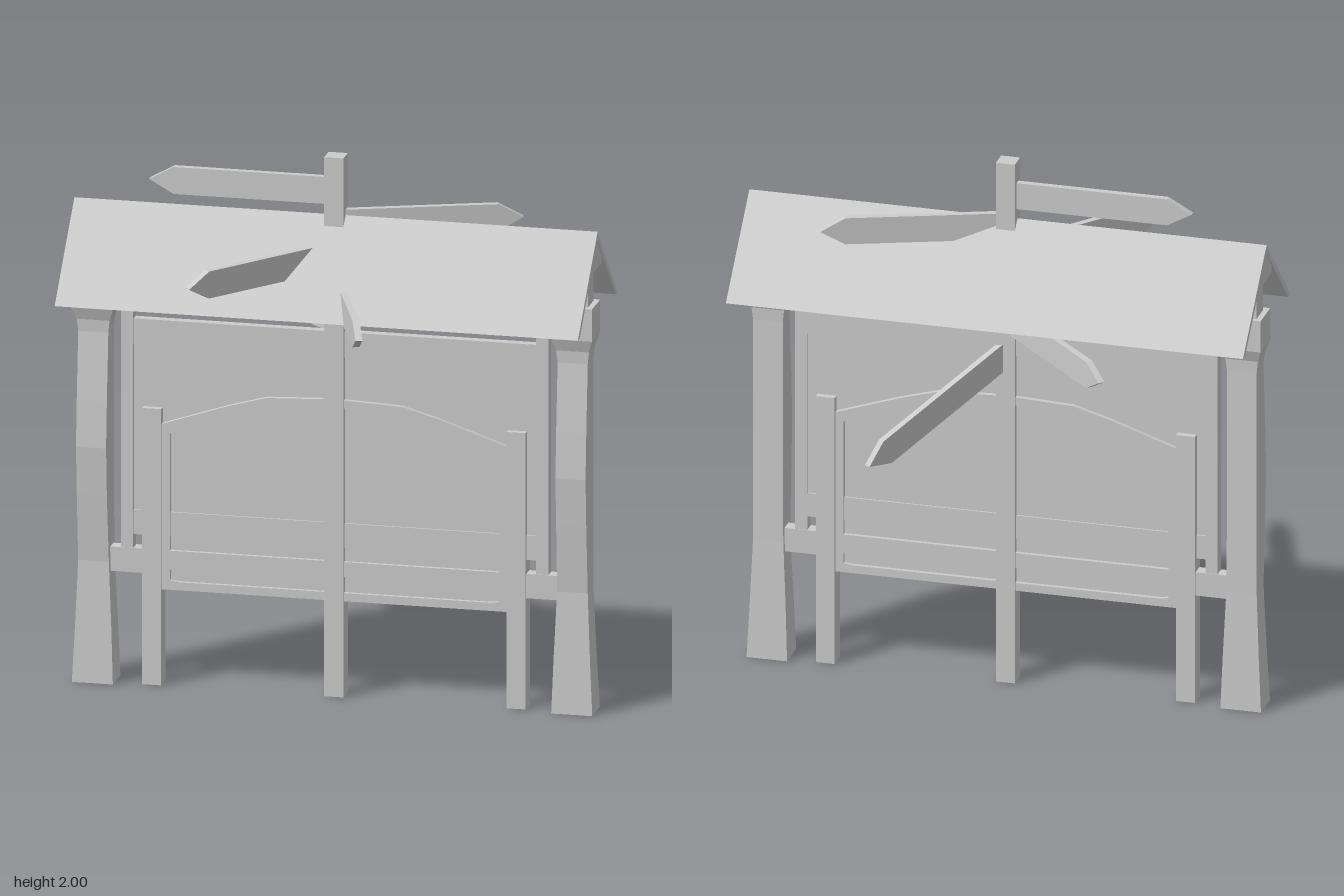
import * as THREE from 'three';

const ZC = -0.048; // shared centre plane of the structure
const mat = new THREE.MeshStandardMaterial({ color: 0xcccccc, flatShading: true });

export function createModel() {
  const group = new THREE.Group();

  const add = (name, geo) => {
    const mesh = new THREE.Mesh(geo, mat);
    mesh.name = name;
    group.add(mesh);
    return mesh;
  };
  // Box from x and y ranges, centred on the structure plane
  const box = (name, x0, x1, y0, y1, depth) => {
    const mesh = add(name, new THREE.BoxGeometry(Math.abs(x1 - x0), y1 - y0, depth));
    mesh.position.set((x0 + x1) / 2, (y0 + y1) / 2, ZC);
    return mesh;
  };
  const shapeOf = pts => new THREE.Shape(pts.map(p => new THREE.Vector2(...p)));
  const pathOf = pts => new THREE.Path(pts.map(p => new THREE.Vector2(...p)));
  const slab = (shape, depth) =>
    new THREE.ExtrudeGeometry(shape, { depth, bevelEnabled: false }).translate(0, 0, -depth / 2);
  const mirrorX = pts => [...pts, ...pts.map(([x, y]) => [-x, y]).reverse()];

  // Carved outer posts: y, inner x, outer x, back z, front z
  const sections = [
    [0, 0.80, 0.95, -0.105, 0.015],
    [0.2, 0.807, 0.94, -0.098, 0.008],
    [0.45, 0.818, 0.93, -0.09, 0],
    [0.7, 0.82, 0.93, -0.09, 0.023],
    [0.88, 0.82, 0.93, -0.09, 0.035],
    [1.05, 0.82, 0.93, -0.09, 0.023],
    [1.3, 0.82, 0.93, -0.09, 0],
    [1.345, 0.815, 0.935, -0.092, 0.002],
    [1.39, 0.80, 0.95, -0.11, 0.018],
    [1.51, 0.80, 0.95, -0.11, 0.018],
  ];
  const postGeometry = side => {
    const n = sections.length - 1;
    const geo = new THREE.BoxGeometry(1, 1, 1, 1, n, 1);
    const p = geo.attributes.position;
    for (let i = 0; i < p.count; i++) {
      const [y, inner, outer, back, front] = sections[Math.round((p.getY(i) + 0.5) * n)];
      const x = p.getX(i) * side > 0 ? outer : inner;
      p.setXYZ(i, x * side, y, p.getZ(i) > 0 ? front : back);
    }
    geo.computeVertexNormals();
    return geo;
  };

  for (const s of [1, -1]) {
    const side = s > 0 ? 'left' : 'right';
    add(side + 'OuterPost', postGeometry(s));
    box(side + 'PostNeck', s * 0.82, s * 0.93, 1.5, 1.67, 0.09);
    // Gabled block carrying the roof
    const cap = add(side + 'PostCap', slab(shapeOf([
      [-0.08, 1.64], [0.08, 1.64], [0.08, 1.675], [0, 1.755], [-0.08, 1.675]]), 0.15));
    cap.rotation.y = Math.PI / 2;
    cap.position.set(s * 0.875, 0, ZC);
    box(side + 'LowRail', s * 0.6, s * 0.825, 0.41, 0.5, 0.05);
    box(side + 'BoardStile', s * 0.735, s * 0.78, 0.5, 1.41, 0.045);
    box(side + 'GatePost', s * 0.63, s * 0.70, 0, 1.025, 0.07);
  }

  // Top rail rising into brackets at the posts
  add('topRail', slab(shapeOf(mirrorX([
    [0.82, 1.40], [0.82, 1.51], [0.7, 1.49], [0.61, 1.465], [0.57, 1.452]]).reverse()), 0.05))
    .position.z = ZC;

  // Notice board: rails and recessed panel
  box('boardTopRail', -0.735, 0.735, 1.255, 1.35, 0.034);
  box('boardBottomRail', -0.735, 0.735, 0.55, 0.64, 0.034);
  box('boardPanel', -0.735, 0.735, 0.63, 1.26, 0.02);

  // Gate frame with arched opening, slot and thin infill
  const arch = [[0.6, 0.935], [0.39, 1.02], [0.25, 1.062], [0.035, 1.07]];
  const frame = shapeOf(mirrorX([
    [0.64, 0.355], [0.64, 0.965], [0.39, 1.05], [0.25, 1.09], [0.035, 1.10]]));
  frame.holes.push(
    pathOf(mirrorX([[0.6, 0.5], ...arch])),
    pathOf(mirrorX([[0.57, 0.385], [0.6, 0.39], [0.6, 0.43], [0.56, 0.445]])));
  add('gateFrame', slab(frame, 0.056)).position.z = ZC;
  box('gateInfill', -0.61, 0.61, 0.37, 0.6, 0.026);

  // Roof: two slabs joined at the ridge
  const roof = add('roof', slab(shapeOf([
    [-0.312, 1.466], [0, 1.78], [0.312, 1.466], [0.284, 1.466], [0, 1.75], [-0.284, 1.466]]), 1.91));
  roof.rotation.y = Math.PI / 2;
  roof.position.z = ZC;

  // Signpost with pointed boards: height, tip x, tip z, downward tilt
  box('signPost', -0.035, 0.035, 0, 2, 0.07);
  const signs = [
    [1.87, -0.68, ZC, 0],
    [1.75, 0.63, -0.28, 0],
    [1.63, -0.42, 0.483, 0],
    [1.51, 0.23, 0.585, 0],
    [1.39, -0.48, -0.53, 0],
    [1.262, 0.37, -0.583, 0.39],
  ];
  signs.forEach(([y, tx, tz, tilt], i) => {
    const dz = tz - ZC;
    const len = Math.hypot(tx, dz) / Math.cos(tilt);
    const sign = add('signBoard' + (i + 1), slab(shapeOf([
      [0.01, -0.05], [len - 0.09, -0.05], [len, 0], [len - 0.09, 0.05], [0.01, 0.05]]), 0.025));
    sign.rotation.set(0, Math.atan2(-dz, tx), -tilt, 'YXZ');
    sign.position.set(0, y, ZC);
  });

  return group;
}
